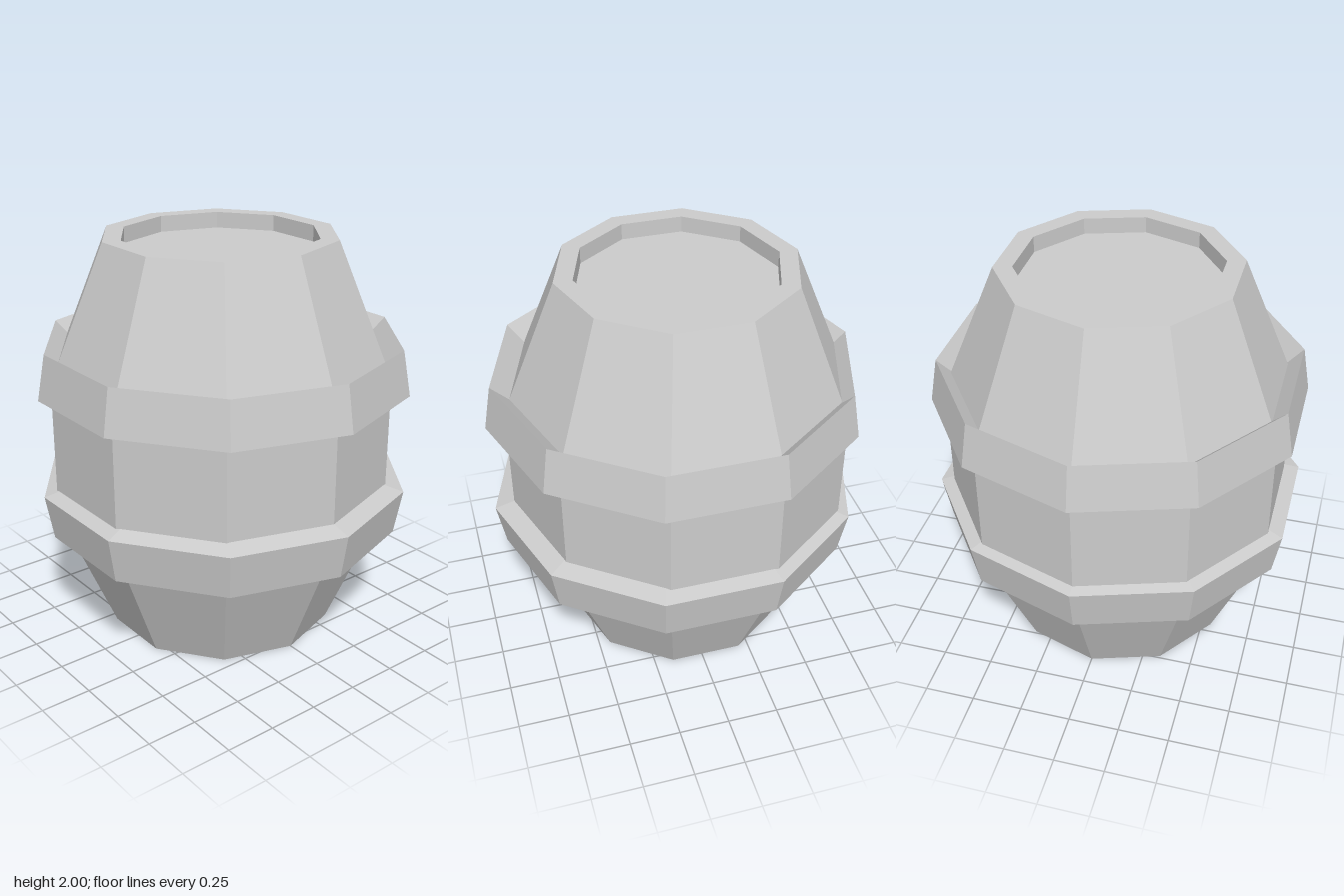
import * as THREE from 'three';

const SIDES = 10;

// Ten-sided turned part; profile points are [radius, y], listed bottom to top
function turned(name, profile) {
  const points = profile.map(([r, y]) => new THREE.Vector2(r, y));
  const material = new THREE.MeshStandardMaterial({ color: 0xcccccc, flatShading: true });
  const mesh = new THREE.Mesh(new THREE.LatheGeometry(points, SIDES), material);
  mesh.name = name;
  return mesh;
}

export function createModel() {
  const group = new THREE.Group();
  group.name = 'barrel';

  // Barrel body with recessed ends, set slightly back inside the hoops
  const body = turned('body', [
    [0, 0.08], [0.485, 0.08], [0.485, 0], [0.575, 0],
    [0.85, 0.655], [0.85, 1.345],
    [0.575, 2], [0.485, 2], [0.485, 1.92], [0, 1.92],
  ]);
  body.position.z = -0.022;
  group.add(body);

  // Flared hoops, mirrored above and below the middle
  const hoop = [[0.8, 1.241], [0.925, 1.275], [0.885, 1.5], [0.785, 1.405]];
  const mirrored = hoop.map(([r, y]) => [r, 2.047 - y]).reverse();
  group.add(turned('upperHoop', hoop), turned('lowerHoop', mirrored));

  return group;
}
